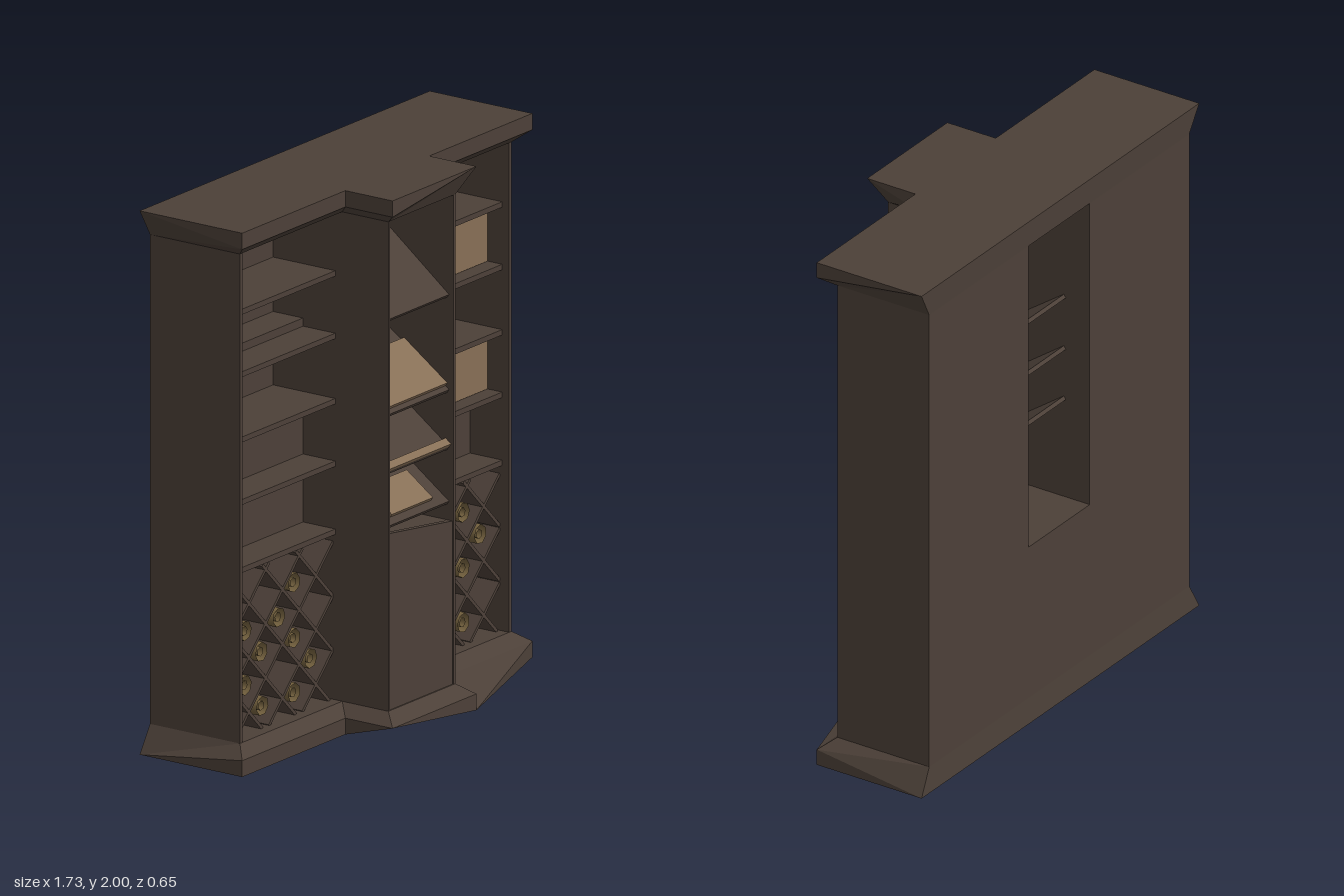
import * as THREE from 'three';

const mat = (name, color, side = THREE.FrontSide) => {
  const m = new THREE.MeshStandardMaterial({ color, side });
  m.name = name;
  return m;
};

export function createModel() {
  const root = new THREE.Group();
  root.name = 'cabinet';
  const wood = mat('dark wood', 0x4c4038);
  const tan = mat('book tan', 0x876f56);
  const paper = mat('scroll paper', 0x75623f, THREE.DoubleSide);

  const add = (name, geometry, material = wood, parent = root) => {
    const mesh = new THREE.Mesh(geometry, material);
    mesh.name = name;
    parent.add(mesh);
    return mesh;
  };
  // Box given by its two extreme corners
  const box = (name, x0, x1, y0, y1, z0, z1, material = wood, parent = root) => {
    const m = add(name, new THREE.BoxGeometry(x1 - x0, y1 - y0, z1 - z0), material, parent);
    m.position.set((x0 + x1) / 2, (y0 + y1) / 2, (z0 + z1) / 2);
    return m;
  };

  // Stepped plan outline shared by plinth and cornice, at height y
  const plan = (w, c, back, side, front, y) => [
    [-w, back], [-w, side], [-c, side], [-c, front], [c, front], [c, side], [w, side], [w, back],
  ].map(([x, z]) => new THREE.Vector3(x, y, z));
  const outer = (y) => plan(0.865, 0.25, -0.325, 0.12, 0.325, y);
  const inner = (y) => plan(0.81, 0.2, -0.32, 0.07, 0.27, y);

  // Faceted moulding lofted through rings, closed at both ends
  const moulding = (name, rings) => {
    const p = [];
    const tri = (...v) => v.forEach((q) => p.push(q.x, q.y, q.z));
    for (let r = 0; r + 1 < rings.length; r++) {
      const lo = rings[r], hi = rings[r + 1], n = lo.length;
      for (let i = 0; i < n; i++) {
        const j = (i + 1) % n;
        tri(lo[i], lo[j], hi[j]);
        tri(lo[i], hi[j], hi[i]);
      }
    }
    const cap = (ring, up) => {
      const flat = ring.map((v) => new THREE.Vector2(v.x, v.z));
      for (const [a, b, c] of THREE.ShapeUtils.triangulateShape(flat, [])) {
        const A = ring[a], B = ring[b], C = ring[c];
        const ny = (B.z - A.z) * (C.x - A.x) - (B.x - A.x) * (C.z - A.z);
        if (ny * up > 0) tri(A, B, C); else tri(A, C, B);
      }
    };
    cap(rings[0], -1);
    cap(rings[rings.length - 1], 1);
    const g = new THREE.BufferGeometry();
    g.setAttribute('position', new THREE.Float32BufferAttribute(p, 3));
    g.computeVertexNormals();
    add(name, g);
  };

  // Plinth: flared, with a diagonal cut on the left side and a raised front corner
  const foot = outer(0), footMid = outer(0.06);
  foot[5].copy(foot[4]);
  foot[3].y = 0.06;
  footMid[0].y = footMid[7].y = 0;
  moulding('plinth', [foot, footMid, inner(0.1)]);

  // Cornice: flared outwards to a flat top
  const topMid = outer(1.94);
  topMid[0].y = topMid[7].y = topMid[4].y = 2;
  moulding('cornice', [inner(1.9), topMid, outer(2)]);

  // Carcass: outer sides, dividers, back panels, centre cupboard
  for (const s of [-1, 1]) {
    const span = (name, a, b, ...rest) => box(name, Math.min(a * s, b * s), Math.max(a * s, b * s), ...rest);
    span('outerSide', 0.795, 0.81, 0.1, 1.9, -0.32, 0.07);
    span('divider', 0.19, 0.2, 0.1, 1.9, -0.32, 0.27);
    span('backPanel', 0.2, 0.795, 0.1, 1.9, -0.32, -0.23);

    // Flat shelves of the side bays
    for (const y of [0.72, 0.97, 1.2, 1.44, 1.67]) {
      span('sideShelf', 0.2, 0.795, y - 0.012, y + 0.008, -0.23, 0.04);
    }
    span('darkBooks', 0.2, 0.795, 0.728, 0.9, -0.23, -0.1);
  }
  box('cupboard', -0.19, 0.19, 0.1, 0.7, -0.32, 0.265);
  box('darkBooks', -0.795, -0.2, 0.978, 1.14, -0.23, -0.1);
  box('darkBooks', -0.795, -0.2, 1.448, 1.478, -0.23, -0.1);
  box('bookRow', 0.205, 0.79, 0.98, 1.19, -0.23, -0.02, tan);
  box('bookRow', 0.205, 0.79, 1.45, 1.66, -0.23, -0.02, tan);

  // Raised wedge along the front edge of the cupboard top
  const wedge = new THREE.Shape([
    new THREE.Vector2(-0.19, 0.7), new THREE.Vector2(0.19, 0.7), new THREE.Vector2(-0.19, 0.75),
  ]);
  const lip = add('cupboardLip', new THREE.ExtrudeGeometry(wedge, { depth: 0.02, bevelEnabled: false }));
  lip.position.z = 0.245;

  // Sloping reading shelves in the centre, each with what lies on it
  const reading = [
    { front: 1.53, back: 1.89 },
    { front: 1.18, back: 1.505, book: [-0.19, 0.19, 0.02, 0.25] },
    { front: 0.97, back: 1.30, book: [-0.19, 0.19, 0.0, 0.03] },
    { front: 0.77, back: 1.10, book: [-0.13, 0.115, 0.03, 0.17] },
  ];
  for (const { front, back, book } of reading) {
    const zf = 0.25, zb = -0.21;
    const shelf = new THREE.Group();
    shelf.name = 'readingShelf';
    shelf.position.set(0, front, zf);
    shelf.rotation.x = Math.atan2(back - front, zf - zb);
    const len = Math.hypot(back - front, zf - zb);
    box('slopingBoard', -0.19, 0.19, -0.015, 0, -len, 0, wood, shelf);
    if (book) box('openBook', book[0], book[1], 0, 0.015, -book[3], -book[2], tan, shelf);
    root.add(shelf);
  }

  // Diagonal scroll racks, mirrored
  const x0 = 0.2, x1 = 0.795, y0 = 0.1, y1 = 0.7;
  const slat = (s, d, k) => {
    // clip the line y = d * x + k to the bay
    const u = (y0 - k) / d, v = (y1 - k) / d;
    const a = Math.max(x0, Math.min(u, v)), b = Math.min(x1, Math.max(u, v));
    if (b - a < 0.04) return;
    const m = add('rackSlat', new THREE.BoxGeometry((b - a) * Math.SQRT2, 0.012, 0.26));
    const x = (a + b) / 2;
    m.position.set(s * x, d * x + k, -0.1);
    m.rotation.z = s * d * Math.PI / 4;
  };
  for (const s of [-1, 1]) {
    for (let i = 0; i < 8; i++) {
      slat(s, 1, 0.48 - 0.2 * i);
      slat(s, -1, 0.28 + 0.2 * i);
    }
  }

  // Rolled scrolls: an outer sheet with a tighter roll inside
  const scrolls = [
    [0.4, 0.58], [0.6, 0.58], [0.5, 0.47], [0.7, 0.475], [0.4, 0.375], [0.6, 0.375],
    [0.3, 0.275], [0.5, 0.275], [0.6, 0.175],
    [-0.41, 0.58], [-0.7, 0.475], [-0.5, 0.475], [-0.605, 0.375], [-0.41, 0.375],
    [-0.7, 0.275], [-0.31, 0.275], [-0.6, 0.175], [-0.41, 0.175],
  ];
  const sheet = new THREE.CylinderGeometry(0.036, 0.036, 0.23, 7, 1, true).rotateX(Math.PI / 2);
  const core = new THREE.CylinderGeometry(0.018, 0.018, 0.22, 6, 1, true).rotateX(Math.PI / 2);
  scrolls.forEach(([x, y], i) => {
    const roll = new THREE.Group();
    roll.name = 'scroll';
    add('outerSheet', sheet, paper, roll);
    add('innerRoll', core, paper, roll);
    roll.position.set(x, y, -0.1);
    roll.rotation.z = i * 0.7;
    root.add(roll);
  });
  return root;
}
